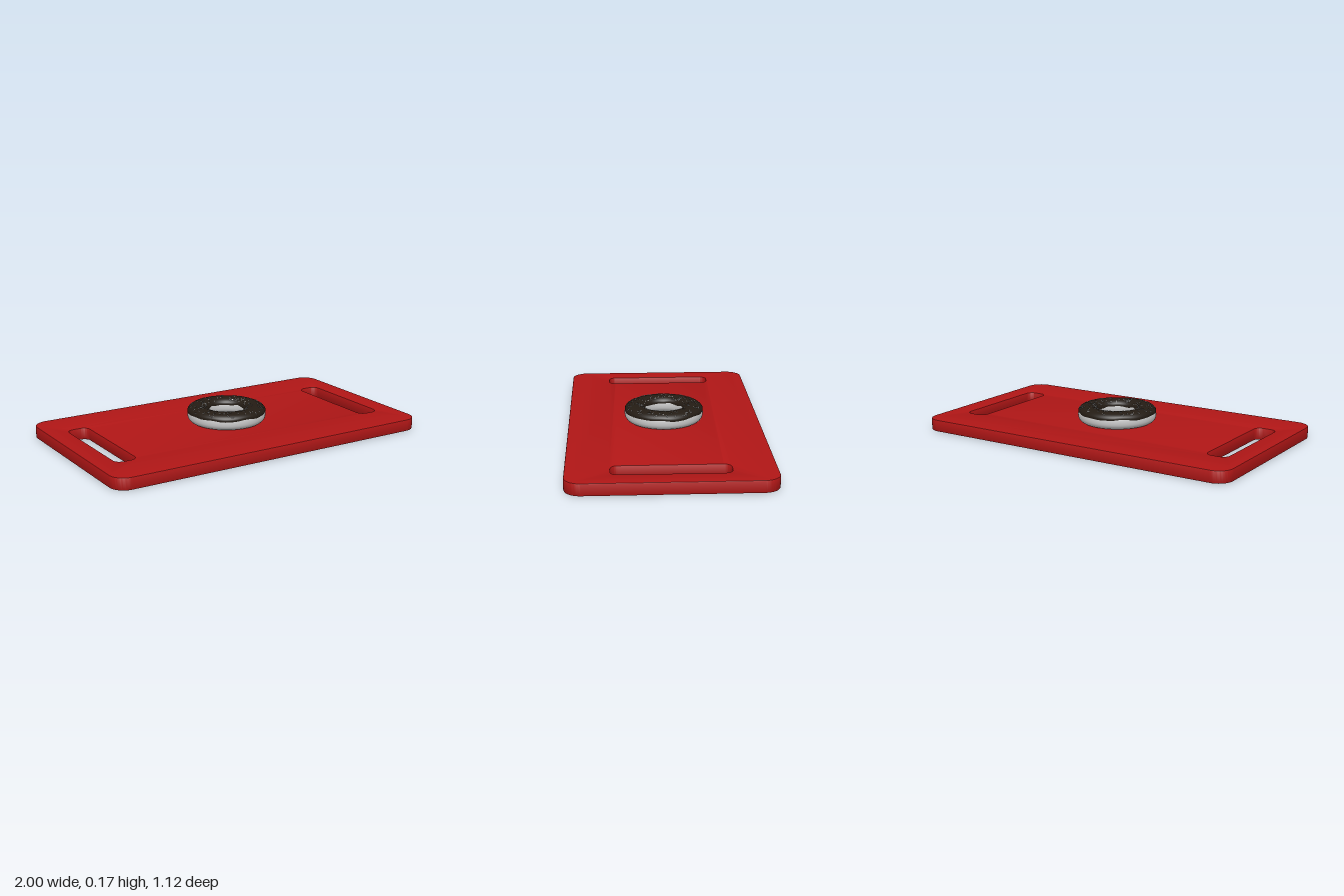
import * as THREE from 'three';
import { mergeGeometries, toCreasedNormals } from 'three/addons/utils/BufferGeometryUtils.js';

const R = 0.17, RX = 0.06, RY = 0.048, CY = 0.118;

// rounded rectangle centred on (cx, 0)
function roundedRect(path, cx, w, h, r) {
  const x = w / 2 - r, y = h / 2 - r;
  path.absarc(cx + x, y, r, 0, Math.PI / 2);
  path.absarc(cx - x, y, r, Math.PI / 2, Math.PI);
  path.absarc(cx - x, -y, r, Math.PI, 1.5 * Math.PI);
  path.absarc(cx + x, -y, r, 1.5 * Math.PI, 2 * Math.PI);
  path.closePath();
  return path;
}

// point on the slightly squared ring section: theta round the ring, a round the tube
function ringPoint(theta, a, offset) {
  const pow = v => Math.sign(v) * Math.abs(v) ** 0.82;
  const r = R + (RX + offset) * pow(Math.cos(a));
  const y = CY + (RY + offset) * pow(Math.sin(a));
  return new THREE.Vector3(r * Math.cos(theta), y, r * Math.sin(theta));
}

// surface swept round the ring; closed joins the section's ends
function ringSurface(nu, nv, closed, point) {
  const pos = [], index = [], rows = closed ? nv : nv + 1;
  for (let i = 0; i < nu; i++)
    for (let j = 0; j < rows; j++) pos.push(...point((i / nu) * 2 * Math.PI, j / nv).toArray());
  for (let i = 0; i < nu; i++)
    for (let j = 0; j < nv; j++) {
      const k = (i + 1) % nu, m = (j + 1) % rows;
      const a = i * rows + j, b = i * rows + m, c = k * rows + j, d = k * rows + m;
      index.push(a, b, c, b, d, c);
    }
  const g = new THREE.BufferGeometry();
  g.setAttribute('position', new THREE.Float32BufferAttribute(pos, 3));
  g.setIndex(index);
  g.computeVertexNormals();
  return g;
}

export function createModel() {
  const model = new THREE.Group();
  model.name = 'doughnutOnTray';
  const add = (name, geometry, color, side = THREE.FrontSide) => {
    const mesh = new THREE.Mesh(geometry, new THREE.MeshStandardMaterial({ color, side }));
    mesh.name = name;
    model.add(mesh);
  };

  // tray with two handle slots
  const bevel = 0.005, height = 0.07;
  const outline = roundedRect(new THREE.Shape(), 0, 2, 1.115, 0.09);
  for (const s of [-1, 1]) outline.holes.push(roundedRect(new THREE.Path(), s * 0.818, 0.125, 0.636, 0.04));
  const tray = new THREE.ExtrudeGeometry(outline, {
    depth: height - 2 * bevel, bevelSize: bevel, bevelThickness: bevel, bevelOffset: -bevel,
    bevelSegments: 2, curveSegments: 10,
  });
  tray.rotateX(-Math.PI / 2).translate(0, bevel, 0);
  add('tray', toCreasedNormals(tray, 0.6), 0xb01616);

  // dough ring
  add('dough', ringSurface(72, 32, true, (t, v) => ringPoint(t, v * 2 * Math.PI, 0)), 0xcccccc);

  // icing cap with a wavy lower edge on both sides
  const wave = t => 0.05 * Math.sin(5 * t) + 0.04 * Math.sin(8 * t + 1) + 0.02 * Math.sin(13 * t);
  add('icing', ringSurface(96, 28, false, (t, v) => {
    const start = 0.2 + wave(t), end = Math.PI - 0.2 - wave(t + 2);
    const thickness = 0.004 * Math.min(1, Math.sin(v * Math.PI) * 4) - 0.0005;
    return ringPoint(t, start + (end - start) * v, thickness);
  }), 0x241c14, THREE.DoubleSide);

  // sprinkles lying on the icing
  let seed = 7;
  const random = () => (seed = (seed * 16807) % 2147483647) / 2147483647;
  const sprinkles = [];
  for (let i = 0; i < 150; i++) {
    const t = random() * 2 * Math.PI, a = 0.7 + random() * 1.75;
    const p = ringPoint(t, a, 0.004);
    const du = ringPoint(t + 0.01, a, 0.004).sub(p).normalize();
    const dv = ringPoint(t, a + 0.01, 0.004).sub(p).normalize();
    const turn = random() * Math.PI;
    const dir = du.multiplyScalar(Math.cos(turn)).addScaledVector(dv, Math.sin(turn)).normalize();
    const q = new THREE.Quaternion().setFromUnitVectors(new THREE.Vector3(0, 1, 0), dir);
    sprinkles.push(new THREE.CapsuleGeometry(0.0015, 0.013, 2, 6).applyQuaternion(q).translate(p.x, p.y, p.z));
  }
  add('sprinkles', mergeGeometries(sprinkles), 0xcccccc);

  return model;
}
